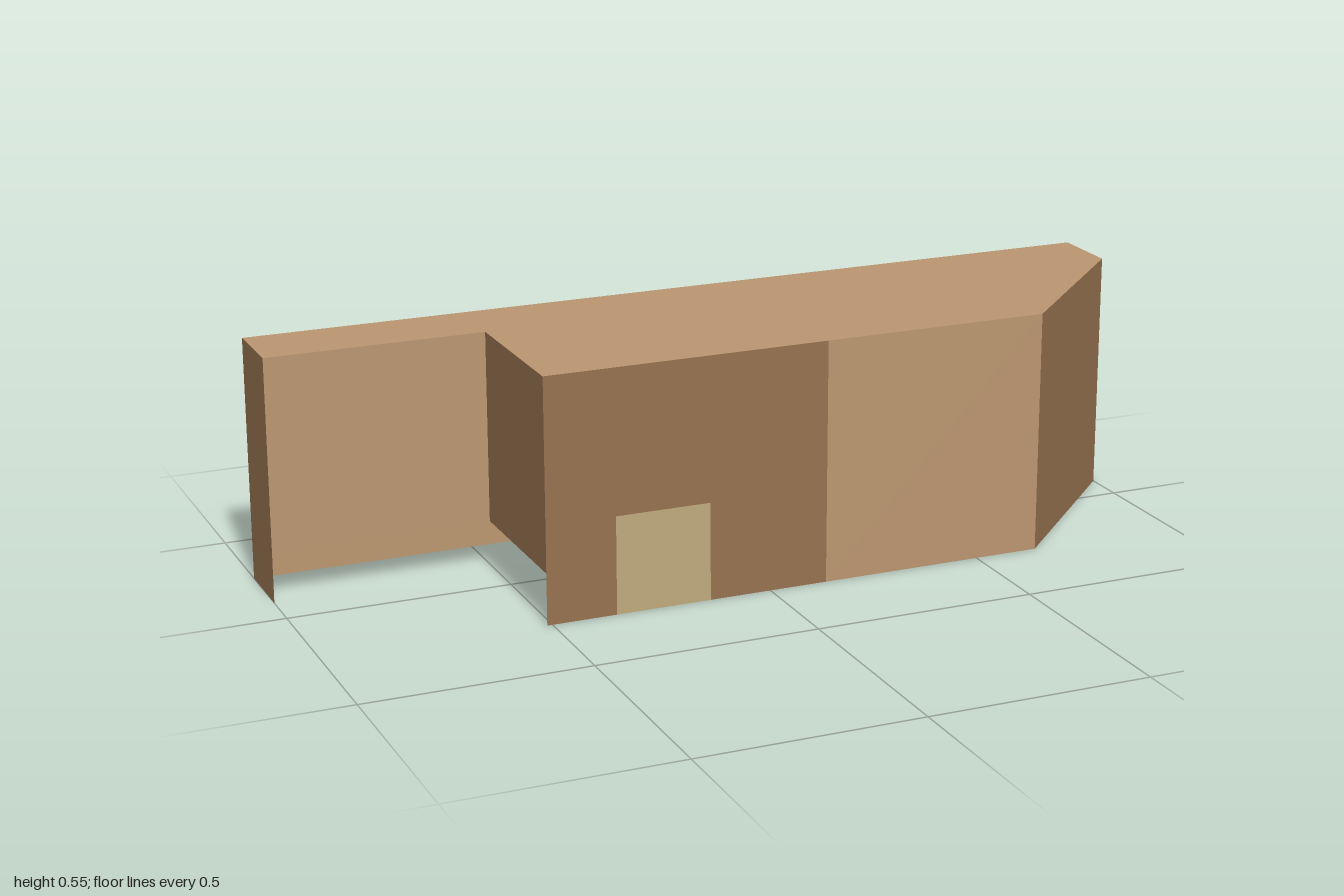
import * as THREE from 'three';

const material = (color) => new THREE.MeshStandardMaterial({ color, side: THREE.DoubleSide, flatShading: true });

export function createModel() {
  const model = new THREE.Group();
  const tan = material(0xbb9670);
  const brown = material(0x967250);
  const beige = material(0xbfab7c);

  const H = 0.545;       // roof height
  const GAP = 0.116;     // clearance under the recessed wing
  const F = 0.257, M = -0.095, B = -0.257; // front, recess and back depths
  const DOOR = 0.22;

  function add(name, geometry, mat) {
    const mesh = new THREE.Mesh(geometry, mat);
    mesh.name = name;
    model.add(mesh);
    return mesh;
  }

  // Upright sheet between two plan points, facing outward when walked counterclockwise
  function wall(name, [x0, z0], [x1, z1], mat, y0 = 0, y1 = H) {
    const length = Math.hypot(x1 - x0, z1 - z0);
    const mesh = add(name, new THREE.PlaneGeometry(length, y1 - y0), mat);
    mesh.position.set((x0 + x1) / 2, (y0 + y1) / 2, (z0 + z1) / 2);
    mesh.rotation.y = Math.atan2(z0 - z1, x1 - x0);
  }

  // Recessed wing, raised off the ground
  wall('wingEndWall', [-1, B], [-1, M], brown);
  wall('wingFrontWall', [-1, M], [-0.512, M], tan, GAP);
  wall('wingReturnWall', [-0.512, M], [-0.512, F], brown, GAP);

  // Dark front with the doorway notched out of it
  const front = new THREE.Shape([
    [-0.512, 0], [-0.355, 0], [-0.355, DOOR], [-0.14, DOOR],
    [-0.14, 0], [0.132, 0], [0.132, H], [-0.512, H],
  ].map(([x, y]) => new THREE.Vector2(x, y)));
  add('entranceWall', new THREE.ShapeGeometry(front), brown).position.z = F;
  wall('door', [-0.355, F], [-0.14, F], beige, 0, DOOR);

  // Remaining front, angled corner, end and back
  wall('frontWall', [0.132, F], [0.647, F], tan);
  wall('angledWall', [0.647, F], [1, M], brown);
  wall('endWall', [1, M], [1, B], beige);
  wall('backWall', [1, B], [-1, B], tan);

  // Flat roof over the whole plan; the underside stays open
  const plan = new THREE.Shape([
    [-1, B], [-1, M], [-0.512, M], [-0.512, F], [0.647, F], [1, M], [1, B],
  ].map(([x, z]) => new THREE.Vector2(x, -z)));
  const roof = add('roof', new THREE.ShapeGeometry(plan), tan);
  roof.rotation.x = -Math.PI / 2;
  roof.position.y = H;

  return model;
}
